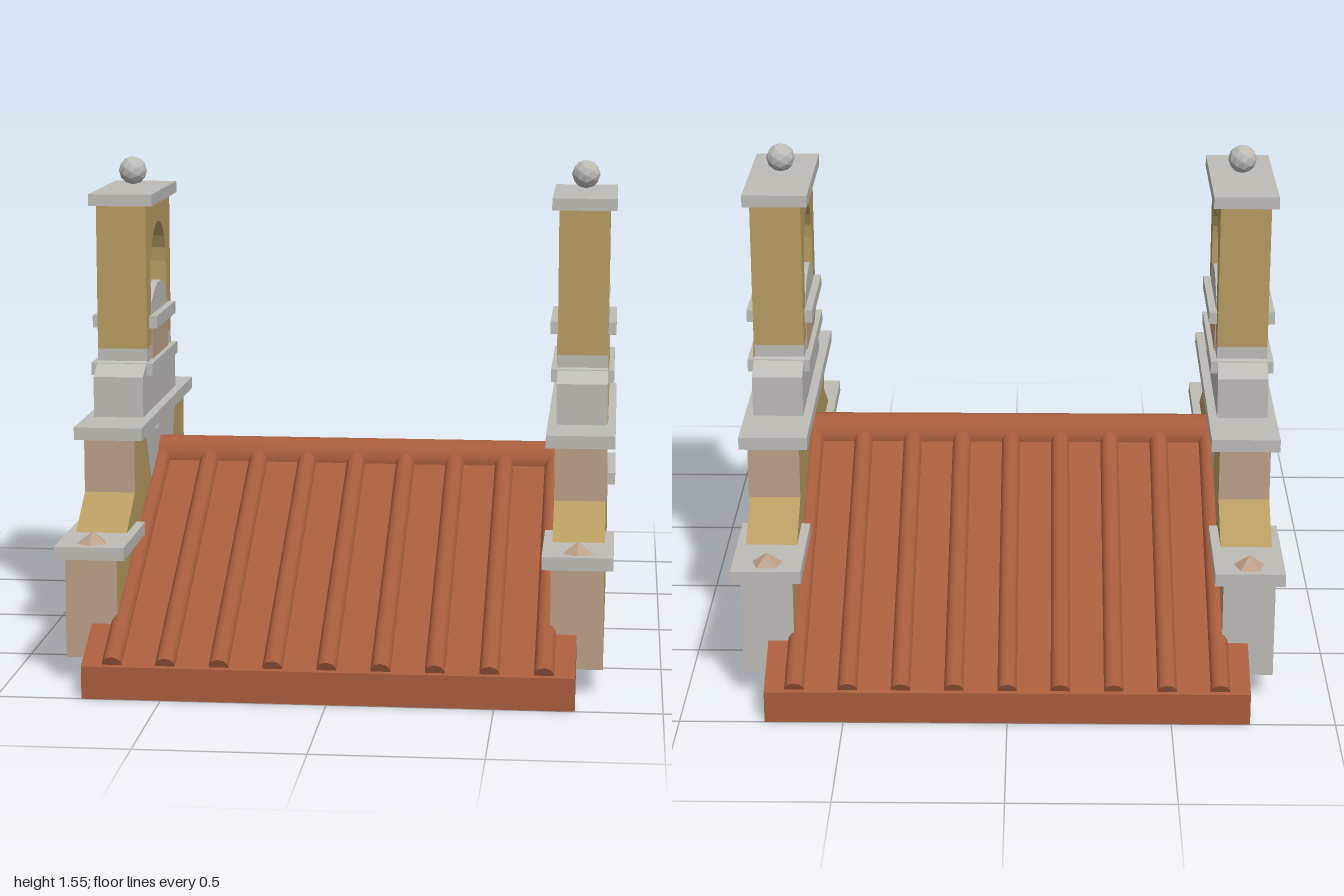
import * as THREE from 'three';

const mat = (name, color) => {
  const m = new THREE.MeshStandardMaterial({ color });
  m.name = name;
  return m;
};

export function createModel() {
  const stone = mat('grey stone', 0xbdbcb6);
  const ochre = mat('ochre plaster', 0xb89c62);
  const blush = mat('blush plaster', 0xbba088);
  const clay = mat('terracotta', 0xa85d3d);
  const palette = [stone, ochre, blush];
  const STONE = 0, OCHRE = 1, BLUSH = 2;

  const model = new THREE.Group();
  model.name = 'belfryRoof';

  const add = (parent, name, geo, material, x = 0, y = 0, z = 0) => {
    const m = new THREE.Mesh(geo, material);
    m.name = name;
    m.position.set(x, y, z);
    parent.add(m);
    return m;
  };
  const shapeOf = (pts) => new THREE.Shape(pts.map(([z, y]) => new THREE.Vector2(z, y)));
  // full outline from its +z half, listed bottom to top
  const mirrored = (half) => [...half, ...half.map(([z, y]) => [-z, y]).reverse()];
  // extrude a (z, y) shape along x, centred on x = 0
  const prism = (shape, width) => {
    const g = new THREE.ExtrudeGeometry(shape, { depth: width, bevelEnabled: false, curveSegments: 5 });
    g.translate(0, 0, -width / 2);
    g.rotateY(-Math.PI / 2);
    return g;
  };
  // choose a palette entry per triangle from its normal and centre
  const paint = (geo, pick) => {
    geo.clearGroups();
    const p = geo.attributes.position, n = geo.attributes.normal;
    for (let i = 0; i < p.count; i += 3) {
      const normal = new THREE.Vector3().fromBufferAttribute(n, i);
      const y = (p.getY(i) + p.getY(i + 1) + p.getY(i + 2)) / 3;
      geo.addGroup(i, 3, pick(normal, y));
    }
    return geo;
  };

  // --- Roof: chevron slab, tile rolls and ridge ---
  const roof = new THREE.Group();
  roof.name = 'roof';
  model.add(roof);
  add(roof, 'roofSlab', prism(shapeOf([
    [1, 0], [1, 0.1], [0, 0.585], [-1, 0.1], [-1, 0], [0, 0.49],
  ]), 1.48), clay);

  const angle = Math.atan(0.485);
  const rollGeo = new THREE.CylinderGeometry(0.031, 0.031, 0.95 / Math.cos(angle), 10);
  rollGeo.rotateX(angle - Math.PI / 2);
  for (const turn of [0, Math.PI]) {
    const side = new THREE.Group();
    side.name = turn ? 'backTiles' : 'frontTiles';
    side.rotation.y = turn;
    roof.add(side);
    for (let i = -4; i <= 4; i++) add(side, 'tileRoll', rollGeo, clay, i * 0.162, 0.334, 0.515);
  }
  const ridge = new THREE.CylinderGeometry(0.065, 0.065, 1.36, 16);
  ridge.rotateZ(Math.PI / 2);
  add(roof, 'ridgeTile', ridge, clay, 0, 0.562, 0);

  // --- Gable wall shapes ---
  const wallShape = shapeOf(mirrored([
    [0.82, 0.08], [0.82, 0.41], [0.66, 0.42], [0.49, 0.53], [0.49, 0.71],
  ]));
  const shoulderShape = shapeOf(mirrored([
    [0.32, 0.71], [0.32, 0.87], [0.235, 0.91], [0.235, 0.95],
  ]));
  const towerShape = shapeOf(mirrored([[0.235, 0.95], [0.235, 1.42]]));
  const arch = new THREE.Path();
  arch.moveTo(-0.15, 1.04);
  arch.lineTo(0.15, 1.04);
  arch.lineTo(0.15, 1.19);
  arch.absarc(0, 1.19, 0.15, 0, Math.PI, false);
  arch.lineTo(-0.15, 1.04);
  towerShape.holes.push(arch);
  const pedimentShape = shapeOf(mirrored([
    [0.15, 1.04], [0.15, 1.09], [0.09, 1.125], [0.04, 1.14],
  ]));
  const bellProfile = [[0.001, 1.26], [0.025, 1.25], [0.035, 1.23], [0.045, 1.17], [0.062, 1.13]]
    .reverse().map(([r, y]) => new THREE.Vector2(r, y));
  const bellMat = mat('bell blush', 0xb3926f);
  bellMat.side = THREE.DoubleSide;
  bellMat.flatShading = true;
  const knobMat = mat('finial stone', 0xbdbcb6);
  knobMat.flatShading = true;
  const coneMat = mat('finial blush', 0xbba088);
  coneMat.flatShading = true;

  for (const s of [1, -1]) {
    const gable = new THREE.Group();
    gable.name = s > 0 ? 'leftGable' : 'rightGable';
    gable.position.x = s * 0.74;
    model.add(gable);
    const W = 0.16;

    add(gable, 'gableWall', paint(prism(wallShape, W), (n, y) => {
      if (Math.abs(n.x) > 0.5) return n.x < -0.5 && s < 0 ? STONE : OCHRE;
      if (n.y < -0.5) return STONE;
      if (Math.abs(n.z) > 0.9) return n.z < 0 && y < 0.45 ? STONE : BLUSH;
      return OCHRE;
    }), palette);
    add(gable, 'shoulder', prism(shoulderShape, W), stone);
    add(gable, 'bellTower', prism(towerShape, W), ochre);
    add(gable, 'pediment', prism(pedimentShape, W + 0.004), stone);

    // painted panels on the faces
    if (s > 0) {
      add(gable, 'shoulderPanel', prism(shapeOf(mirrored([[0.28, 0.74], [0.235, 0.9], [0.235, 0.95]])), 0.006),
        ochre, 0.08);
      for (const e of [1, -1]) {
        add(gable, 'wallPanel', prism(shapeOf([
          [e * 0.488, 0.535], [e * 0.488, 0.7], [e * 0.27, 0.7], [e * 0.31, 0.64],
        ]), 0.006), blush, 0.08);
      }
    } else {
      add(gable, 'innerPanel', prism(shapeOf(mirrored([[0.2, 0.52], [0.3, 0.7]])), 0.006), stone, 0.08);
    }
    add(gable, 'loftPanel', prism(shapeOf([[-0.81, 0.085], [0.81, 0.085], [0, 0.48]]), 0.006), blush, -s * 0.08);
    for (const f of [1, -1]) {
      add(gable, 'towerPanel', new THREE.BoxGeometry(0.008, 0.11, 0.3), blush, f * 0.08, 0.96, 0);
    }

    // stone ledges: [y, height, half length, depth]
    for (const [y, h, half, d] of [
      [0.72, 0.04, 0.515, 0.215], [0.695, 0.035, 0.16, 0.205],
      [0.885, 0.04, 0.25, 0.2], [1.03, 0.04, 0.188, 0.21], [1.43, 0.038, 0.248, 0.205],
    ]) add(gable, 'ledge', new THREE.BoxGeometry(d, h, half * 2), stone, 0, y, 0);

    // corner caps with small pyramids
    for (const e of [1, -1]) {
      add(gable, 'cornerCap', new THREE.BoxGeometry(0.215, 0.04, 0.38), stone, 0, 0.412, e * 0.66);
      add(gable, 'cornerFinial', new THREE.ConeGeometry(0.052, 0.038, 5), coneMat, 0, 0.449, e * 0.785);
    }
    add(gable, 'bell', new THREE.LatheGeometry(bellProfile, 8), bellMat);
    add(gable, 'bellHanger', new THREE.CylinderGeometry(0.008, 0.008, 0.1, 6), bellMat, 0, 1.3, 0).visible = false;
    add(gable, 'topFinial', new THREE.IcosahedronGeometry(0.046, 1), knobMat, 0, 1.505, 0);
  }
  return model;
}
